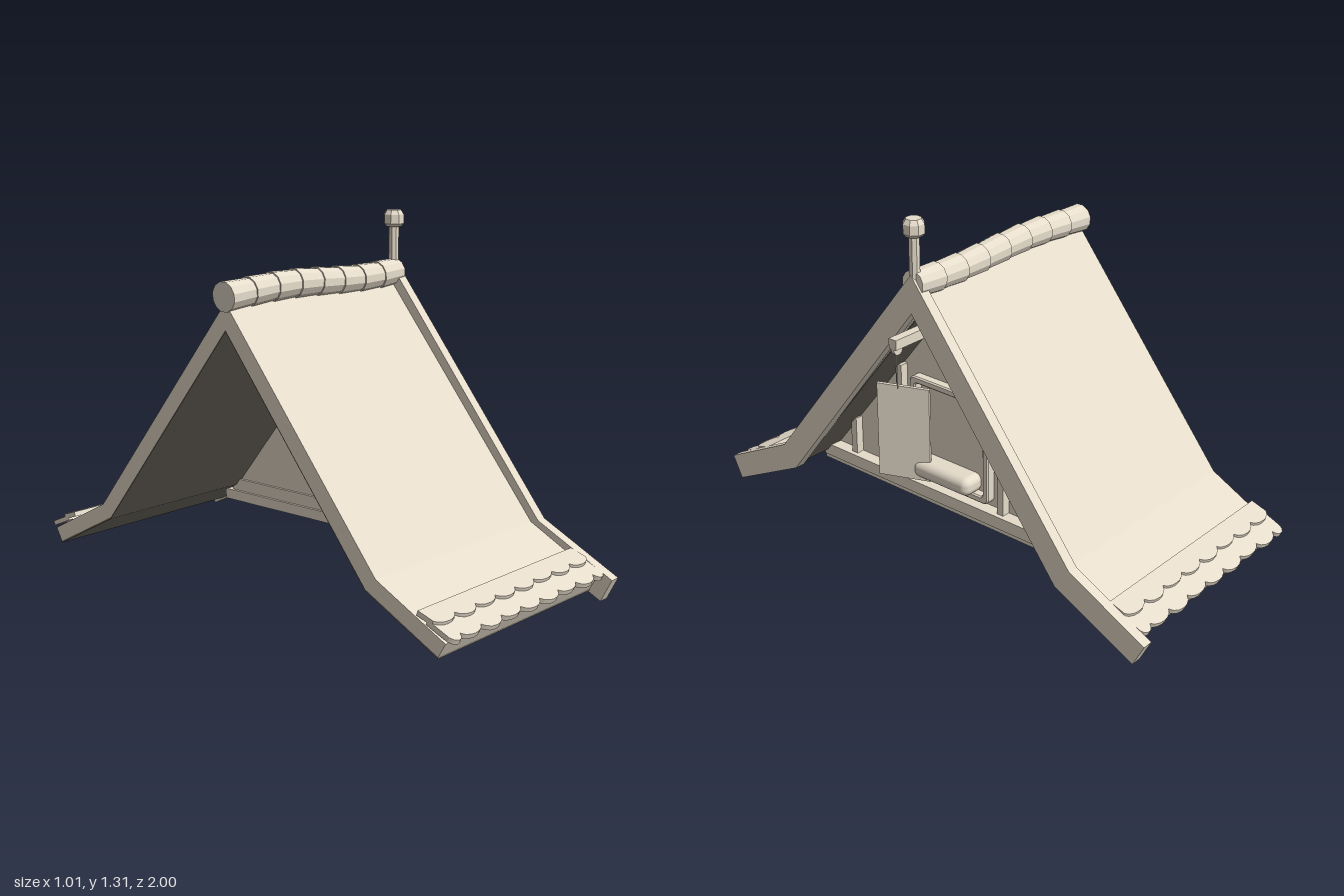
import * as THREE from 'three';
import { toCreasedNormals } from 'three/addons/utils/BufferGeometryUtils.js';
import { RoundedBoxGeometry } from 'three/addons/geometries/RoundedBoxGeometry.js';

const beige = new THREE.MeshStandardMaterial({ color: 0xe6dccb });
beige.name = 'warm beige';
const umber = new THREE.MeshStandardMaterial({ color: 0x7a756a });
umber.name = 'dark underside';

export function createModel() {
  const model = new THREE.Group();
  model.name = 'gableRoof';

  const add = (name, geometry, parent = model, material = beige) => {
    const mesh = new THREE.Mesh(geometry, material);
    mesh.name = name;
    parent.add(mesh);
    return mesh;
  };
  // box given by its minimum and maximum corners
  const box = (name, x0, x1, y0, y1, z0, z1) => add(name,
    new THREE.BoxGeometry(x1 - x0, y1 - y0, z1 - z0)
      .translate((x0 + x1) / 2, (y0 + y1) / 2, (z0 + z1) / 2));
  // symmetric outline from the outer and inner [z, y] edges of one half, ridge to eave
  const mirrored = (outer, inner) => {
    const flip = (list) => list.slice(1).map(([z, y]) => [-z, y]);
    const points = [...flip(outer).reverse(), ...outer, ...inner.slice().reverse(), ...flip(inner)];
    return new THREE.Shape(points.map(([z, y]) => new THREE.Vector2(z, y)));
  };
  // extrude a z-y outline along x from x0 to x1
  const extrudeX = (name, shape, x0, x1, bevel = 0, material = beige) => add(name,
    new THREE.ExtrudeGeometry(shape, {
      depth: x1 - x0 - 2 * bevel, bevelEnabled: bevel > 0, bevelSize: bevel,
      bevelThickness: bevel, bevelOffset: -bevel, bevelSegments: 1, curveSegments: 5,
    }).translate(0, 0, bevel).rotateY(Math.PI / 2).translate(x0, 0, 0), model, material);

  // roof slab with kicked-out eaves, its dark lining, and the gable boards
  const underside = [[0, 0.958], [0.618, 0.188], [0.912, 0.036]];
  extrudeX('roofSlab', mirrored([[0, 1.05], [0.66, 0.23], [0.94, 0.085]], underside), -0.5, 0.37);
  extrudeX('roofLining', mirrored(underside, underside.map(([z, y]) => [z, y - 0.006])),
    -0.5, 0.369, 0, umber);
  extrudeX('gableBoards', mirrored(
    [[0, 1.11], [0.69, 0.24], [1.0, 0.085]],
    [[0, 0.97], [0.63, 0.16], [0.957, 0]]), 0.368, 0.409);

  // ridge tiles, each tucked under its neighbour, on a gently waving line
  const ridgeY = (x) => 1.075 + 0.008 * Math.cos((x + 0.2) * 7.85);
  const tileLength = 0.113;
  for (let i = 0; i < 8; i++) {
    const x0 = -0.507 + i * tileLength, x1 = Math.min(x0 + tileLength + 0.01, 0.4);
    const g = new THREE.CylinderGeometry(0.053, 0.048, x1 - x0, 12)
      .rotateY(Math.PI / 12).rotateZ(Math.PI / 2);
    const tile = add('ridgeTile', toCreasedNormals(g, 0.3));
    tile.position.set((x0 + x1) / 2, (ridgeY(x0) + ridgeY(x1)) / 2, 0);
    tile.rotation.z = Math.atan2(ridgeY(x1) - ridgeY(x0), x1 - x0);
  }

  // scalloped eave tiles: two overlapping rows on each side
  const half = 0.435, pitch = 2 * half / 8;
  const scallopRow = (name, length, slope, y, z, shift, parent) => {
    const shape = new THREE.Shape();
    const cusp = length - 0.024;
    shape.moveTo(-half, 0);
    shape.lineTo(half, 0);
    shape.lineTo(half, cusp);
    let x = half;
    for (let i = 0; x > -half + 0.001; i++) {
      const next = Math.max(-half, x - (i === 0 && shift ? pitch / 2 : pitch));
      const tip = length + 0.005 * Math.sin(i * 2.3);
      shape.bezierCurveTo(x - (x - next) * 0.15, tip + 0.008,
        next + (x - next) * 0.15, tip + 0.008, next, cusp);
      x = next;
    }
    const g = new THREE.ExtrudeGeometry(shape, { depth: 0.018, bevelEnabled: false, curveSegments: 6 });
    add(name, g.rotateX(Math.PI / 2 + slope).translate(0, y, z), parent);
  };
  for (const turn of [0, Math.PI]) {
    const eave = new THREE.Group();
    eave.name = 'eaveTiles';
    eave.position.x = -0.065;
    eave.rotation.y = turn;
    scallopRow('upperTileRow', 0.088, 0.32, 0.168, 0.83, false, eave);
    scallopRow('lowerTileRow', 0.115, 0.41, 0.146, 0.87, true, eave);
    model.add(eave);
  }

  // finial post with a chamfered, eight-sided cap
  const octagon = (name, points) => {
    const g = new THREE.LatheGeometry(points.map(([r, y]) => new THREE.Vector2(r, y)), 8);
    add(name, toCreasedNormals(g.rotateY(Math.PI / 8), 0.3)).position.x = 0.388;
  };
  octagon('finialPost', [[0, 1.06], [0.02, 1.06], [0.02, 1.25], [0, 1.25]]);
  octagon('finialCap', [[0, 1.243], [0.029, 1.243], [0.039, 1.254], [0.039, 1.288], [0.028, 1.305], [0, 1.306]]);

  // recessed gable wall with its beams and posts
  extrudeX('gableWall', new THREE.Shape([[-0.66, 0.14], [0.66, 0.14], [0, 0.97]]
    .map(([z, y]) => new THREE.Vector2(z, y))), 0.17, 0.2);
  box('lowerBeam', 0.15, 0.215, 0.12, 0.16, -0.667, 0.667);
  box('upperBeam', 0.16, 0.25, 0.16, 0.207, -0.635, 0.635);
  for (const side of [1, -1]) {
    for (const [z, top] of [[0.242, 0.65], [0.487, 0.355]]) {
      box('wallPost', 0.19, 0.232, 0.165, top, side * z - 0.014, side * z + 0.014);
    }
  }

  // window frame with rounded corners
  const roundRect = (target, w, h, r) => {
    target.absarc(w - r, h - r, r, 0, Math.PI / 2);
    target.absarc(-w + r, h - r, r, Math.PI / 2, Math.PI);
    target.absarc(-w + r, -h + r, r, Math.PI, Math.PI * 1.5);
    target.absarc(w - r, -h + r, r, Math.PI * 1.5, Math.PI * 2);
    target.closePath();
    return target;
  };
  const frame = roundRect(new THREE.Shape(), 0.187, 0.203, 0.025);
  frame.holes.push(roundRect(new THREE.Path(), 0.16, 0.176, 0.012));
  extrudeX('windowFrame', frame, 0.19, 0.235, 0.005).position.y = 0.425;

  // shutter standing ajar
  const shutter = add('shutter', new THREE.BoxGeometry(0.014, 0.37, 0.2));
  shutter.position.set(0.29, 0.425, 0.163);
  shutter.rotation.y = 0.385;

  // cushion over the sill
  add('cushion', new RoundedBoxGeometry(0.1, 0.072, 0.27, 4, 0.03))
    .position.set(0.235, 0.284, 0.005);

  // hoist beam with pulley and rope
  box('hoistBeam', 0.19, 0.503, 0.872, 0.908, -0.017, 0.017);
  const pulley = new THREE.CylinderGeometry(0.021, 0.021, 0.014, 14).rotateX(Math.PI / 2);
  add('pulley', toCreasedNormals(pulley, 0.6)).position.set(0.482, 0.867, 0);
  add('rope', new THREE.CylinderGeometry(0.0025, 0.0025, 0.14, 6)).position.set(0.484, 0.79, 0);

  return model;
}
